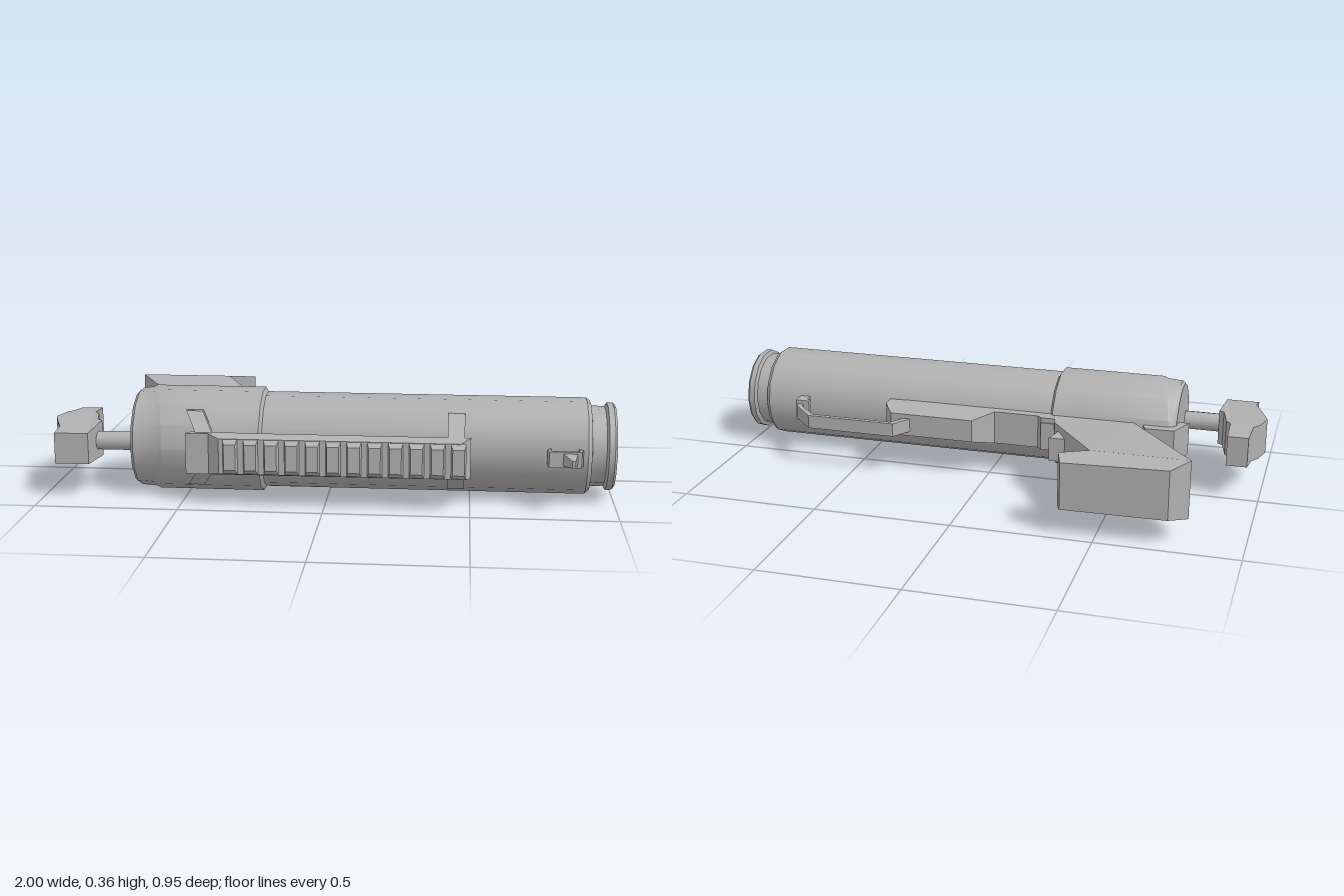
import * as THREE from 'three';
import { toCreasedNormals } from 'three/addons/utils/BufferGeometryUtils.js';

const CY = 0.185, CZ = 0.195; // tube axis

export function createModel() {
  const root = new THREE.Group();
  const grey = new THREE.MeshStandardMaterial({ color: 0xb0b0b0 });
  grey.name = 'grey metal';

  const add = (name, geo) => {
    const mesh = new THREE.Mesh(geo, grey);
    mesh.name = name;
    root.add(mesh);
    return mesh;
  };

  // Profile of [radius, x] turned around the tube axis; rule may shift vertices
  const turned = (name, profile, rule, sides = 14, y = CY, z = CZ) => {
    const geo = new THREE.LatheGeometry(profile.map(p => new THREE.Vector2(...p)), sides);
    geo.rotateZ(-Math.PI / 2);
    if (rule) {
      const p = geo.attributes.position;
      for (let i = 0; i < p.count; i++) p.setX(i, rule(p.getX(i), p.getZ(i)));
    }
    geo.translate(0, y, z);
    return add(name, toCreasedNormals(geo, 0.55));
  };

  // Outline of [x, z] given a thickness in y; half(z) is half that thickness
  const plate = (name, outline, half) => {
    const shape = new THREE.Shape(outline.map(p => new THREE.Vector2(...p)));
    const geo = new THREE.ExtrudeGeometry(shape, { depth: 2, bevelEnabled: false });
    geo.translate(0, 0, -1);
    geo.rotateX(Math.PI / 2);
    const p = geo.attributes.position;
    for (let i = 0; i < p.count; i++) {
      const h = typeof half === 'function' ? half(p.getZ(i)) : half;
      p.setY(i, CY + p.getY(i) * h);
    }
    geo.computeVertexNormals();
    return add(name, geo);
  };

  // Slanted strap from low point to high point, each [x, y, z]
  const strap = (name, low, high, width, thick) => {
    const geo = new THREE.BoxGeometry(width, 1, thick).toNonIndexed();
    const p = geo.attributes.position;
    for (let i = 0; i < p.count; i++) {
      const t = p.getY(i) + 0.5;
      const at = k => low[k] + (high[k] - low[k]) * t;
      p.setXYZ(i, p.getX(i) + at(0), at(1), p.getZ(i) + at(2));
    }
    geo.computeVertexNormals();
    return add(name, geo);
  };

  // Launch tube with muzzle flange and tapered bore
  turned('tube', [[0.165, -0.3], [0.17, -0.26], [0.17, 0.9], [0.16, 0.914], [0.142, 0.916],
    [0.142, 0.925], [0.14, 0.965], [0.154, 0.972], [0.154, 0.992], [0.148, 1.0], [0.128, 1.0],
    [0.107, 0.66], [0, 0.66]]);

  // Rear sleeve with an oblique step near its back end
  turned('rearSleeve', [[0, -0.69], [0.166, -0.69], [0.175, -0.68], [0.179, -0.635], [0.186, -0.62],
    [0.186, -0.36], [0.186, -0.235], [0.17, -0.225]],
  (x, z) => (x > -0.64 && x < -0.6 ? x + 0.045 * z / 0.186 : x));

  // Stock rod and butt pad
  turned('stockRod', [[0.034, -0.86], [0.034, -0.68]], null, 12, CY + 0.002, 0.28);
  plate('buttPad', [[-0.953, 0], [-0.878, 0], [-0.875, 0.11], [-0.858, 0.13], [-0.838, 0.225],
    [-0.82, 0.235], [-0.83, 0.4], [-0.95, 0.4], [-0.945, 0.34], [-0.972, 0.27], [-1.0, 0.19],
    [-0.98, 0.12], [-0.96, 0.09]], z => (z < 0.03 || z > 0.37 ? 0.055 : 0.065));

  // Grip flaring downward to a foot with a toe
  plate('grip', [[-0.535, 0.03], [-0.805, -0.39], [-0.46, -0.39], [-0.26, -0.05], [-0.24, 0.03]],
    z => (z > -0.06 ? 0.063 : 0.063 + (-z - 0.05) * 0.124));
  plate('gripFoot', [[-0.805, -0.39], [-0.745, -0.46], [-0.38, -0.478], [-0.36, -0.42], [-0.46, -0.39]],
    z => 0.105 - (-z - 0.39) * 0.23);

  // Trigger block in front of the grip
  plate('triggerBlock', [[-0.36, -0.155], [-0.265, -0.157], [-0.28, -0.09], [-0.255, -0.015],
    [-0.2, -0.015], [-0.19, 0.04], [-0.36, 0.04]], z => (z < -0.01 ? 0.043 : 0.06));

  // Underside housing and fore grip
  plate('lowerHousing', [[-0.3, -0.012], [-0.2, -0.012], [-0.185, 0.003], [-0.02, 0.003],
    [-0.02, 0.05], [-0.3, 0.05]], 0.062);
  plate('foreGrip', [[-0.02, 0.002], [0.05, -0.062], [0.365, -0.062], [0.4, -0.015], [0.4, 0.05],
    [-0.02, 0.05]], z => (z < -0.03 ? 0.042 : 0.062));

  // Bracket at the rear of the underside
  plate('rearBracket', [[-0.69, -0.012], [-0.585, -0.015], [-0.56, 0.05], [-0.66, 0.06],
    [-0.69, 0.085], [-0.73, 0.085]], 0.06);

  // Bent carrying strap and its clip
  plate('carryStrap', [[0.29, -0.06], [0.335, -0.13], [0.67, -0.13], [0.755, -0.04], [0.765, -0.005],
    [0.74, -0.005], [0.735, -0.035], [0.66, -0.112], [0.35, -0.112], [0.318, -0.06]], 0.025);
  plate('strapClip', [[0.715, -0.018], [0.768, -0.018], [0.768, 0.045], [0.73, 0.045], [0.73, 0],
    [0.715, 0]], 0.04);

  // Accessory rail with cross teeth
  plate('rail', [[-0.48, 0.43], [-0.465, 0.405], [-0.395, 0.405], [-0.36, 0.385], [-0.25, 0.385],
    [-0.225, 0.41], [0.5, 0.41], [0.465, 0.458], [-0.36, 0.458], [-0.4, 0.43]],
  z => (z < 0.4 ? 0.05 : z > 0.45 ? 0.062 : 0.072));
  for (let i = 0; i < 12; i++) {
    const x = -0.32 + i * 0.0708;
    plate('railTooth', [[x - 0.026, 0.456], [x + 0.026, 0.456], [x + 0.02, 0.474], [x - 0.02, 0.474]],
      z => (z > 0.46 ? 0.045 : 0.062));
  }

  // Mirrored straps joining the rail to the tube
  for (const [xOut, xIn] of [[-0.46, -0.41], [0.45, 0.45]]) {
    const zOut = xOut < 0 ? 0.34 : 0.315;
    strap('railStrap', [xIn, CY + 0.06, 0.42], [xOut, CY + 0.133, zOut], 0.058, 0.018);
    strap('railStrap', [xOut, CY - 0.133, zOut], [xIn, CY - 0.06, 0.42], 0.058, 0.018);
  }

  // Front sight: hooped base and tapered post
  plate('sightBase', [[0.775, 0.35], [0.76, 0.375], [0.765, 0.4], [0.875, 0.4], [0.882, 0.375],
    [0.865, 0.35], [0.87, 0.378], [0.865, 0.39], [0.78, 0.39], [0.77, 0.378]], 0.028);
  plate('sightPost', [[0.81, 0.395], [0.862, 0.395], [0.85, 0.46], [0.838, 0.46]],
    z => (z > 0.42 ? 0.012 : 0.022));

  return root;
}
